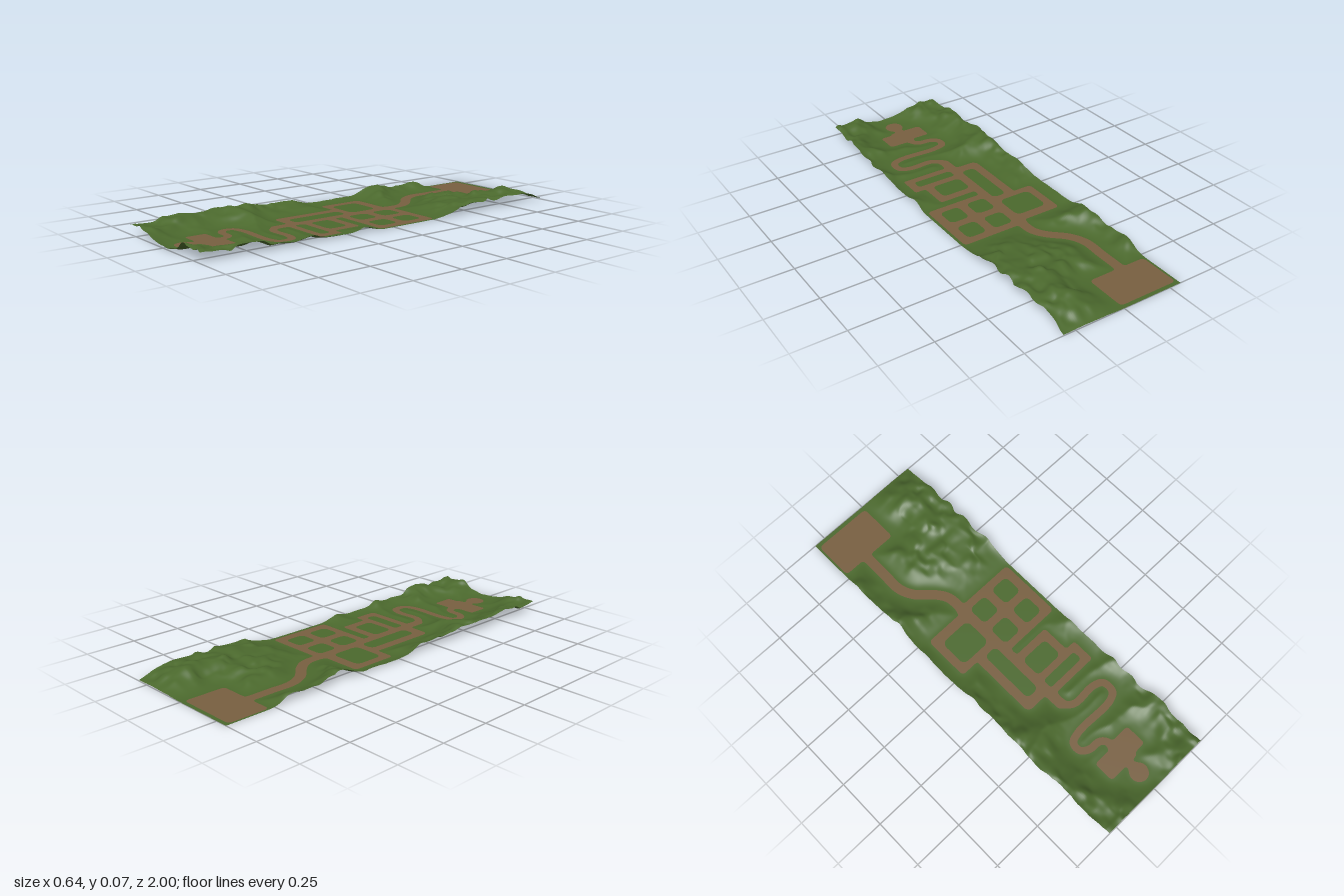
import * as THREE from 'three';
import { mergeVertices } from 'three/addons/utils/BufferGeometryUtils.js';

const HALF_X = 0.31, HALF_Z = 1, NX = 84, NZ = 270;

// Paved rectangles: x0, x1, z0, z1, corner radius
const paved = [
  [-0.30, 0.0, -0.98, -0.775, 0.02],    // large square at the back
  [-0.25, 0.0, -0.235, 0.0, 0.02],      // left block
  [-0.01, 0.295, -0.26, 0.065, 0.02],   // right block
  [-0.155, 0.0, -0.01, 0.345, 0.03],    // long narrow loop
  [-0.02, 0.195, 0.105, 0.3, 0.015],    // small block
  [-0.02, 0.25, 0.25, 0.37, 0.01],      // wide block
  [-0.11, 0.06, 0.735, 0.84, 0.015],    // front clearing
  [-0.01, 0.125, 0.715, 0.825, 0.015],
];

// Grass plots inside the blocks
const plots = [
  [-0.21, -0.045, -0.185, -0.035, 0.03],
  [-0.11, -0.04, 0.005, 0.295, 0.025],
  [0.005, 0.155, 0.145, 0.25, 0.025],
  [0.005, 0.21, 0.285, 0.335, 0.015],
];
for (const x of [0.005, 0.15]) {
  for (const z of [-0.22, -0.075]) plots.push([x, x + 0.1, z, z + 0.103, 0.025]);
}

// Winding roads: half width and centre line points (x, z)
const roads = [
  [0.025, [[-0.168, -0.8], [-0.168, -0.65], [-0.168, -0.54], [-0.135, -0.465],
    [-0.06, -0.39], [-0.025, -0.33], [-0.022, -0.22]]],
  [0.023, [[-0.022, -0.24], [-0.022, 0.1], [-0.018, 0.42]]],
  [0.018, [[-0.016, 0.36], [-0.012, 0.43], [0.03, 0.467], [0.15, 0.467], [0.2, 0.49],
    [0.2, 0.55], [0.15, 0.575], [-0.05, 0.575], [-0.11, 0.595], [-0.115, 0.64],
    [-0.08, 0.668], [-0.02, 0.675], [0.005, 0.7], [0.006, 0.75]]],
  [0.02, [[0.006, 0.8], [0.006, 0.9]]],
  [0.045, [[0.006, 0.9], [0.006, 0.902]]],
].map(([w, pts]) => {
  const curve = new THREE.CatmullRomCurve3(pts.map(([x, z]) => new THREE.Vector3(x, 0, z)), false, 'centripetal');
  return { w, pts: curve.getPoints(pts.length * 4) };
});

function boxDistance(x, z, [x0, x1, z0, z1, r]) {
  const qx = Math.abs(x - (x0 + x1) / 2) - (x1 - x0) / 2 + r;
  const qz = Math.abs(z - (z0 + z1) / 2) - (z1 - z0) / 2 + r;
  return Math.hypot(Math.max(qx, 0), Math.max(qz, 0)) + Math.min(Math.max(qx, qz), 0) - r;
}

function roadDistance(x, z, { w, pts }) {
  let best = Infinity;
  for (let i = 1; i < pts.length; i++) {
    const a = pts[i - 1], dx = pts[i].x - a.x, dz = pts[i].z - a.z;
    const t = THREE.MathUtils.clamp(((x - a.x) * dx + (z - a.z) * dz) / (dx * dx + dz * dz || 1), 0, 1);
    best = Math.min(best, Math.hypot(x - a.x - dx * t, z - a.z - dz * t));
  }
  return best - w;
}

// Blended union, which rounds the inner corners of junctions
function blend(a, b, k = 0.018) {
  const h = Math.max(k - Math.abs(a - b), 0) / k;
  return Math.min(a, b) - h * h * k / 4;
}

function hash(i, j) {
  const s = Math.sin(i * 127.1 + j * 311.7) * 43758.5453;
  return s - Math.floor(s);
}

function noise(x, z) {
  const i = Math.floor(x), j = Math.floor(z);
  const u = THREE.MathUtils.smootherstep(x - i, 0, 1), v = THREE.MathUtils.smootherstep(z - j, 0, 1);
  const lerp = THREE.MathUtils.lerp;
  return lerp(lerp(hash(i, j), hash(i + 1, j), u), lerp(hash(i, j + 1), hash(i + 1, j + 1), u), v);
}

// One terrain point: position and signed distance to the paving (negative inside)
function terrainPoint(x, z) {
  let outer = Infinity;
  for (const b of paved) outer = blend(outer === Infinity ? 10 : outer, boxDistance(x, z, b));
  for (const r of roads) outer = blend(outer, roadDistance(x, z, r));
  let d = outer;
  for (const p of plots) d = Math.max(d, -boxDistance(x, z, p));
  const rise = THREE.MathUtils.smoothstep(outer, 0.005, 0.17);
  const backFade = THREE.MathUtils.smoothstep(z, -1.04, -0.86);
  const lumps = 0.62 * noise(x * 11 + 7, z * 9 + 3) + 0.38 * noise(x * 24, z * 20 + 40);
  const y = rise * backFade * (0.017 + 0.056 * lumps);
  const sway = rise * backFade * 0.022;
  return {
    x: x + sway * (noise(x * 16 + 50, z * 16) - 0.5),
    y,
    z: z + (Math.abs(z) > 0.99 ? 0 : sway * (noise(x * 16, z * 16 + 90) - 0.5)),
    d,
  };
}

// Keep the part of a triangle on one side of the paving edge
function clip(triangle, sign, out) {
  const poly = [];
  triangle.forEach((a, i) => {
    const b = triangle[(i + 1) % 3];
    if (a.d * sign >= 0) poly.push(a);
    if (a.d * b.d < 0) {
      const t = a.d / (a.d - b.d);
      poly.push({ x: a.x + (b.x - a.x) * t, y: a.y + (b.y - a.y) * t, z: a.z + (b.z - a.z) * t });
    }
  });
  for (let i = 2; i < poly.length; i++) {
    for (const p of [poly[0], poly[i - 1], poly[i]]) out.push(p.x, p.y, p.z);
  }
}

function surface(name, positions, material) {
  let geometry = new THREE.BufferGeometry();
  geometry.setAttribute('position', new THREE.Float32BufferAttribute(positions, 3));
  geometry = mergeVertices(geometry, 1e-5);
  geometry.computeVertexNormals();
  const mesh = new THREE.Mesh(geometry, material);
  mesh.name = name;
  return mesh;
}

export function createModel() {
  const grass = new THREE.MeshStandardMaterial({ color: 0x4b692d, side: THREE.DoubleSide });
  grass.name = 'grass green';
  const dirt = new THREE.MeshStandardMaterial({ color: 0x785f40, side: THREE.DoubleSide });
  dirt.name = 'dirt brown';

  // Sample the ground on a grid
  const grid = [];
  for (let j = 0; j <= NZ; j++) {
    const row = [];
    for (let i = 0; i <= NX; i++) {
      row.push(terrainPoint((i / NX * 2 - 1) * HALF_X, (j / NZ * 2 - 1) * HALF_Z));
    }
    grid.push(row);
  }

  // Split every cell between hills and paving
  const hills = [], paths = [];
  for (let j = 0; j < NZ; j++) {
    for (let i = 0; i < NX; i++) {
      const a = grid[j][i], b = grid[j][i + 1], c = grid[j + 1][i], e = grid[j + 1][i + 1];
      for (const tri of [[a, c, b], [b, c, e]]) {
        clip(tri, 1, hills);
        clip(tri, -1, paths);
      }
    }
  }

  const model = new THREE.Group();
  model.name = 'terrain';
  model.add(surface('grassHills', hills, grass), surface('dirtRoads', paths, dirt));
  return model;
}
